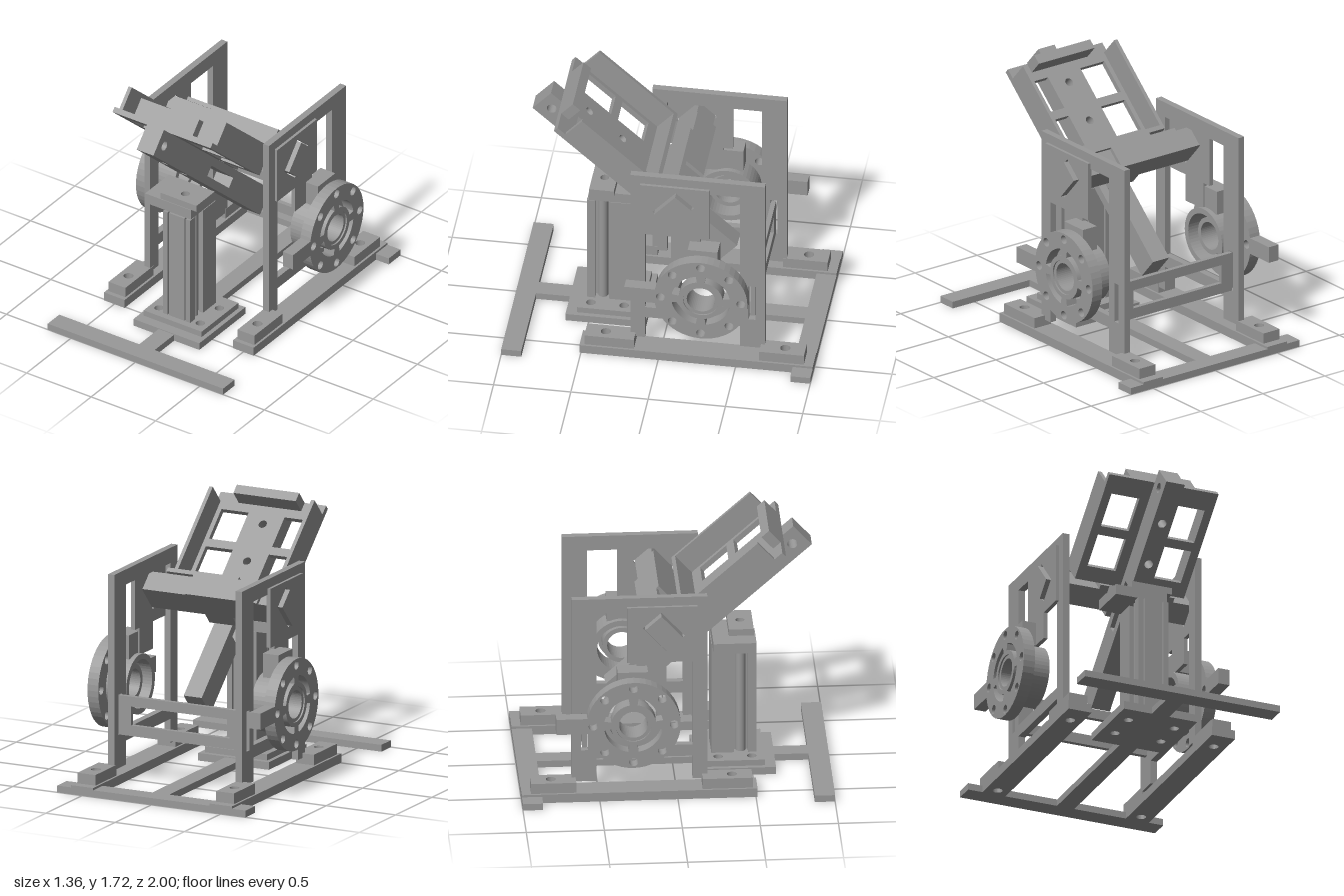
import * as THREE from 'three';

const grey = new THREE.MeshStandardMaterial({ color: 0x999999 });
grey.name = 'machined grey';

function add(parent, name, geometry) {
  const m = new THREE.Mesh(geometry, grey);
  m.name = name;
  parent.add(m);
  return m;
}

// Box given by its extents on each axis
function box(parent, name, x0, x1, y0, y1, z0, z1) {
  const g = new THREE.BoxGeometry(x1 - x0, y1 - y0, z1 - z0);
  g.translate((x0 + x1) / 2, (y0 + y1) / 2, (z0 + z1) / 2);
  return add(parent, name, g);
}

const poly = (Type, pts) => new Type(pts.map(p => new THREE.Vector2(p[0], p[1])));
const rectPts = (a0, a1, b0, b1) => [[a0, b0], [a1, b0], [a1, b1], [a0, b1]];
const rect = (...e) => poly(THREE.Shape, rectPts(...e));
const rectHole = (...e) => poly(THREE.Path, rectPts(...e));
const circle = (Type, a, b, r) => new Type().absarc(a, b, r, 0, Math.PI * 2, false);
const hole = (a, b, r) => circle(THREE.Path, a, b, r);

function extrude(shape, depth, holes) {
  shape.holes.push(...holes);
  return new THREE.ExtrudeGeometry(shape, { depth, bevelEnabled: false, curveSegments: 24 });
}

// Shape drawn in (z, y), extruded from x0 to x1
function sidePlate(parent, name, shape, x0, x1, holes = []) {
  const g = extrude(shape, x1 - x0, holes);
  g.rotateY(-Math.PI / 2);
  g.translate(x1, 0, 0);
  return add(parent, name, g);
}

// Shape drawn in (x, -z), extruded from y0 to y1
function flatPlate(parent, name, shape, y0, y1, holes = []) {
  const g = extrude(shape, y1 - y0, holes);
  g.rotateX(-Math.PI / 2);
  g.translate(0, y0, 0);
  return add(parent, name, g);
}

const TILT = 42 * Math.PI / 180;
const ARM = { y: 1.6, z: 0.832 };

// Arm coordinates (s along the arm, t above its axis) to (z, y)
const armPoint = (s, t) => [
  ARM.z - s * Math.cos(TILT) - t * Math.sin(TILT),
  ARM.y - s * Math.sin(TILT) + t * Math.cos(TILT)];

function buildBase(root) {
  const base = new THREE.Group();
  base.name = 'base';
  root.add(base);
  box(base, 'frontFloorBar', -0.68, 0.68, 0, 0.045, 0.87, 1);
  box(base, 'backFloorBar', -0.68, 0.68, 0, 0.045, -1, -0.87);
  box(base, 'centreFloorBar', -0.06, 0.06, 0, 0.045, -0.88, 0.88);
  for (const side of [-1, 1]) {
    const x = side * 0.5;
    const holes = () => [hole(x, -0.35, 0.032), hole(x, 0.81, 0.032)];
    flatPlate(base, 'sideRail', rect(x - 0.08, x + 0.08, -0.51, 1), 0, 0.06, holes());
    for (const [z0, z1, zc] of [[0.16, 0.48, 0.35], [-0.94, -0.65, -0.81]])
      flatPlate(base, 'footBlock', rect(x - 0.065, x + 0.065, -z1, -z0), 0.06, 0.13, [hole(x, -zc, 0.032)]);
  }
}

function buildColumn(root) {
  const col = new THREE.Group();
  col.name = 'column';
  root.add(col);
  const bolts = () => [-1, 1].flatMap(i => [-0.285, -0.5].map(b => hole(i * 0.16, b, 0.03)));
  flatPlate(col, 'columnFoot', rect(-0.255, 0.255, -0.65, -0.13), 0, 0.05, bolts());
  flatPlate(col, 'columnFlange', rect(-0.225, 0.225, -0.58, -0.165), 0.05, 0.09, bolts());
  box(col, 'columnCore', -0.06, 0.06, 0.09, 0.865, 0.245, 0.535);
  for (const s of [-1, 1]) {
    const a = Math.min(s * 0.07, s * 0.105), b = Math.max(s * 0.07, s * 0.105);
    box(col, 'columnFrontSlab', a, b, 0.09, 0.865, 0.48, 0.535);
    box(col, 'columnBackSlab', a, b, 0.09, 0.865, 0.245, 0.39);
    const rod = new THREE.CylinderGeometry(0.032, 0.032, 0.775, 24);
    add(col, 'columnRod', rod).position.set(s * 0.06, 0.4775, 0.435);
  }
  box(col, 'columnCap', -0.255, 0.1, 0.865, 0.935, 0.25, 0.52);
  flatPlate(col, 'capPlate', rect(-0.14, 0.14, -0.515, -0.355), 0.935, 0.98, [hole(0, -0.435, 0.028)]);
}

function buildFrames(root) {
  for (const s of [-1, 1]) {
    const frame = new THREE.Group();
    frame.name = s > 0 ? 'leftFrame' : 'rightFrame';
    root.add(frame);
    const span = (a, b) => s > 0 ? [a, b] : [-b, -a];
    // Two posts joined by a top and a lower beam
    const outline = poly(THREE.Shape, [[0.195, 0.1], [0.195, 1.39], [-0.675, 1.39], [-0.675, 0.1],
      [-0.515, 0.1], [-0.515, 0.26], [0.1, 0.26], [0.1, 0.1]]);
    sidePlate(frame, 'sideFrame', outline, ...span(0.438, 0.483),
      [rectHole(-0.515, 0.1, 0.34, 1.29), rectHole(-0.615, -0.57, 0.32, 0.585)]);
    // Bearing panel with a tilted square opening
    const slot = poly(THREE.Path, [[0.9, 0.17], [1.06, 0.17], [1.06, 0.395], [0.9, 0.395]].map(p => armPoint(...p)));
    sidePlate(frame, 'bearingPanel', rect(-0.32, 0.13, 0.94, 1.33), ...span(0.475, 0.502), [slot]);
    sidePlate(frame, 'panelTab', rect(-0.26, -0.07, 0.76, 0.94), ...span(0.475, 0.502));
  }
  // Rear brace joining both frames
  const brace = extrude(rect(-0.44, 0.44, 0.32, 0.58), 0.03, [rectHole(-0.355, 0.355, 0.39, 0.515)]);
  brace.translate(0, 0, -0.605);
  add(root, 'rearBrace', brace);
}

// Round drive unit, drawn around its own axis and facing +x
function buildDrive(root, turn) {
  const drive = new THREE.Group();
  drive.name = turn ? 'rightDrive' : 'leftDrive';
  drive.position.set(0, 0.58, -0.29);
  drive.rotation.y = turn;
  root.add(drive);
  const holes = [hole(0, 0, 0.115)];
  for (let i = 0; i < 8; i++) {
    const a = i * Math.PI / 4;
    holes.push(hole(0.26 * Math.cos(a), 0.26 * Math.sin(a), 0.029));
  }
  for (let i = 0; i < 4; i++) {
    const a0 = i * Math.PI / 2 + 0.17, a1 = (i + 1) * Math.PI / 2 - 0.17;
    const p = new THREE.Path();
    p.absarc(0, 0, 0.19, a0, a1, false);
    p.absarc(0, 0, 0.145, a1, a0, true);
    p.closePath();
    holes.push(p);
  }
  sidePlate(drive, 'driveDisc', circle(THREE.Shape, 0, 0, 0.302), 0.597, 0.675, holes);
  sidePlate(drive, 'hubRing', circle(THREE.Shape, 0, 0, 0.122), 0.5, 0.665, [hole(0, 0, 0.092)]);
  sidePlate(drive, 'driveHousing', circle(THREE.Shape, 0, 0, 0.197), 0.45, 0.597, [hole(0, 0, 0.16)]);
  box(drive, 'housingBlock', 0.483, 0.597, 0.18, 0.338, -0.097, 0.097);
  box(drive, 'driveLug', 0.597, 0.675, -0.052, 0.055, 0.295, 0.495);
}

function buildArm(root) {
  const arm = new THREE.Group();
  arm.name = 'tiltingArm';
  arm.position.set(0, ARM.y, ARM.z);
  arm.rotation.x = -TILT;
  root.add(arm);
  const W = 0.065, H = 0.089;
  const bores = () => [hole(0, 0.29, 0.028), hole(0, 0.58, 0.028)];
  // Beam in three lengths: cross bore, upright bores, long slot
  sidePlate(arm, 'beamTip', rect(-0.2, 0, -H, H), -W, W, [hole(-0.087, 0, 0.032)]);
  flatPlate(arm, 'beamMiddle', rect(-W, W, 0.2, 0.7), -H, H, bores());
  sidePlate(arm, 'beamTail', rect(-1.62, -0.7, -H, H), -W, W, [rectHole(-1.1, -0.77, -0.036, 0.036)]);
  // Tray with four windows, side walls, rear wall and front lip
  const windows = [];
  for (const s of [-1, 1])
    for (const [a, b] of [[0.218, 0.45], [0.51, 0.735]])
      windows.push(rectHole(Math.min(s * 0.13, s * 0.325), Math.max(s * 0.13, s * 0.325), a, b));
  flatPlate(arm, 'trayFloor', rect(-0.38, 0.38, 0.09, 0.835), H, 0.125, [...windows, ...bores()]);
  box(arm, 'trayWallLeft', 0.355, 0.38, 0.125, 0.284, -0.835, -0.159);
  box(arm, 'trayWallRight', -0.38, -0.355, 0.125, 0.284, -0.835, -0.159);
  box(arm, 'trayRearWall', -0.355, 0.355, 0.125, 0.284, -0.835, -0.805);
  box(arm, 'trayFrontLip', -0.225, 0.225, 0.125, 0.237, -0.155, -0.09);
  // Cross shaft and its mounting plates
  box(arm, 'crossShaft', -0.53, 0.53, 0.18, 0.385, -1.05, -0.91);
  box(arm, 'shaftTopPlate', -0.355, 0.16, 0.385, 0.41, -1.06, -0.9);
  box(arm, 'shaftFrontPlate', -0.16, 0.355, 0.18, 0.41, -0.91, -0.88);
  box(arm, 'shaftSaddle', -0.1, 0.1, H, 0.18, -1.05, -0.85);
}

export function createModel() {
  const root = new THREE.Group();
  root.name = 'tiltingTestRig';
  buildBase(root);
  buildColumn(root);
  buildFrames(root);
  buildDrive(root, 0);
  buildDrive(root, Math.PI);
  buildArm(root);
  return root;
}
